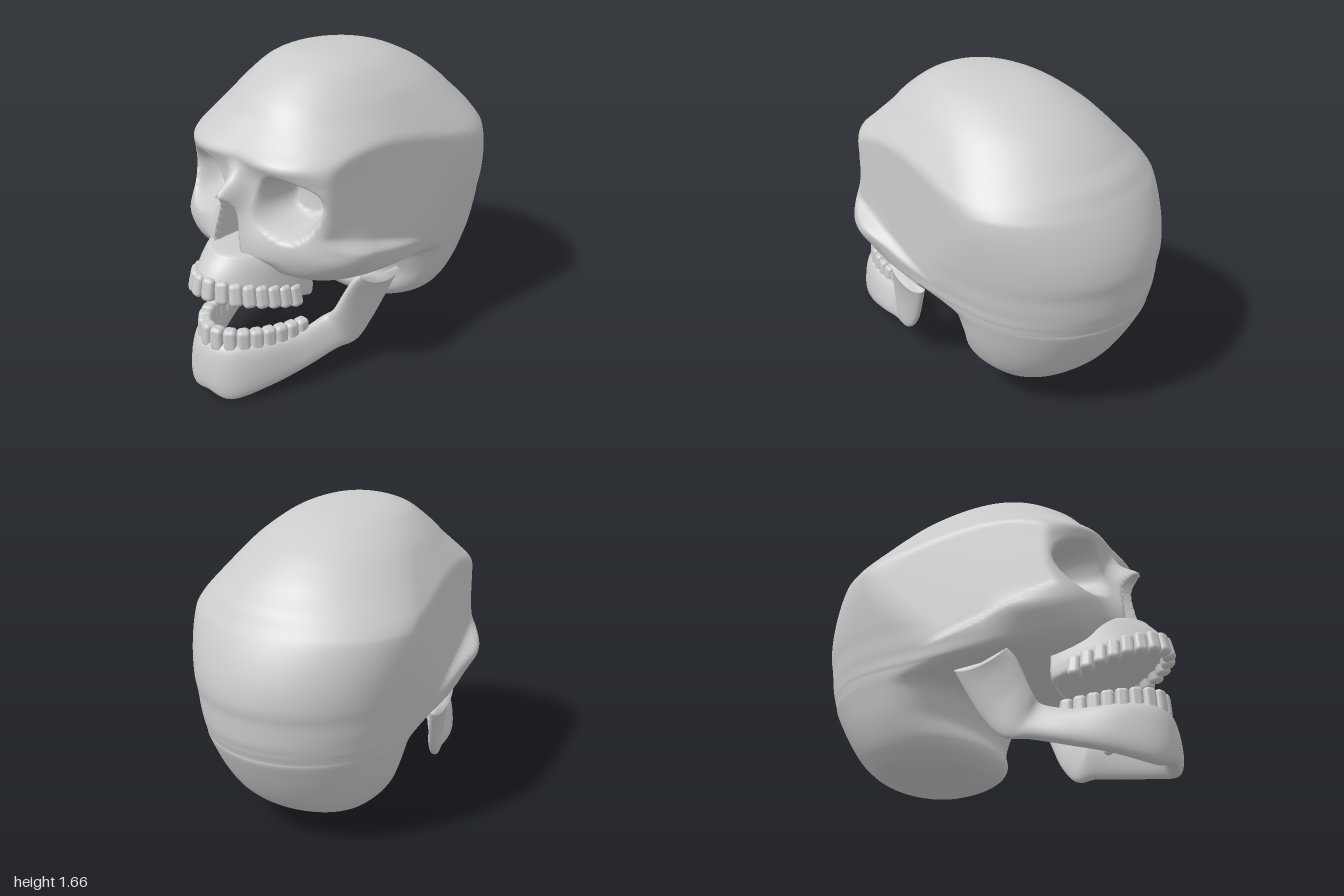
import * as THREE from 'three';
import { RoundedBoxGeometry } from 'three/addons/geometries/RoundedBoxGeometry.js';

const material = new THREE.MeshStandardMaterial({ color: 0xcccccc, roughness: 0.8 });
const { smoothstep, clamp } = THREE.MathUtils;
const signedPow = (v, e) => Math.sign(v) * Math.abs(v) ** e;

// Smooth interpolation through rows of key numbers; u counts in rows.
function spline(keys, u) {
  const last = keys.length - 1;
  const i = clamp(Math.floor(u), 0, last - 1), t = u - i;
  const key = (n) => keys[clamp(n, 0, last)];
  return keys[i].map((b, j) => {
    const a = key(i - 1)[j], c = key(i + 1)[j], d = key(i + 2)[j];
    return b + 0.5 * t * (c - a + t * (2 * a - 5 * b + 4 * c - d + t * (3 * (b - c) + d - a)));
  });
}

// Skin closed rings of points, cap both ends, and turn the faces outwards.
function loft(name, rings) {
  const n = rings[0].length, pts = rings.flat(), index = [];
  for (let r = 0; r < rings.length - 1; r++) {
    for (let i = 0; i < n; i++) {
      const a = r * n + i, b = r * n + (i + 1) % n;
      index.push(a, b, a + n, b, b + n, a + n);
    }
  }
  [0, rings.length - 1].forEach((r) => {
    const centre = new THREE.Vector3();
    rings[r].forEach((p) => centre.addScaledVector(p, 1 / n));
    const c = pts.push(centre) - 1;
    for (let i = 0; i < n; i++) {
      const a = r * n + i, b = r * n + (i + 1) % n;
      if (r) index.push(a, b, c); else index.push(b, a, c);
    }
  });
  let volume = 0;
  const cross = new THREE.Vector3();
  for (let i = 0; i < index.length; i += 3) {
    volume += cross.crossVectors(pts[index[i + 1]], pts[index[i + 2]]).dot(pts[index[i]]);
  }
  if (volume < 0) index.reverse();
  const geometry = new THREE.BufferGeometry().setFromPoints(pts);
  geometry.setIndex(index);
  geometry.computeVertexNormals();
  const mesh = new THREE.Mesh(geometry, material);
  mesh.name = name;
  return mesh;
}

function sampleRings(keys, perKey, makeRing) {
  const count = (keys.length - 1) * perKey;
  return Array.from({ length: count + 1 }, (_, r) => makeRing(r / perKey));
}

// Horizontal sections of the skull: y, half width, front z, back z
const skullKeys = [
  [0.115, 0.02, -0.47, -0.53], [0.125, 0.14, -0.35, -0.58], [0.15, 0.3, -0.17, -0.66],
  [0.19, 0.38, -0.09, -0.72], [0.26, 0.44, -0.05, -0.79], [0.38, 0.495, -0.085, -0.87],
  [0.52, 0.535, -0.03, -0.945], [0.56, 0.545, 0.1, -0.955], [0.59, 0.55, 0.32, -0.965],
  [0.61, 0.555, 0.5, -0.97], [0.65, 0.56, 0.62, -0.98], [0.7, 0.57, 0.68, -0.985],
  [0.77, 0.58, 0.71, -0.99], [0.85, 0.595, 0.72, -1], [0.95, 0.61, 0.7, -0.985],
  [1.05, 0.62, 0.68, -0.95], [1.14, 0.62, 0.68, -0.905], [1.21, 0.605, 0.69, -0.86],
  [1.27, 0.57, 0.695, -0.82], [1.33, 0.53, 0.65, -0.76], [1.41, 0.475, 0.575, -0.68],
  [1.5, 0.405, 0.5, -0.56], [1.59, 0.3, 0.375, -0.38], [1.635, 0.2, 0.27, -0.22],
  [1.655, 0.1, 0.18, -0.05], [1.66, 0.01, 0.08, 0.06],
];
// Depth of the widest point, and how square the front half of a section is
const widestZ = (y) => -0.4 + 0.95 * Math.max(0, y - 1.17) - Math.max(0, 0.21 - y);
const squareness = (y) => 2.3 + 1.7 * smoothstep(y, 0.5, 0.64)
  - 0.65 * smoothstep(y, 0.78, 1) - 1.2 * smoothstep(y, 1.2, 1.55);

// Nose ridge every 0.08 up from y = 0.76: height, spread
const noseKeys = [[0.1, 0.17], [0.09, 0.14], [0.1, 0.11], [0.12, 0.08], [0.17, 0.055], [0.06, 0.05], [0, 0.05]];

function sculptSkull(p) {
  const side = Math.sign(p.x), { y } = p;
  let ax = Math.abs(p.x);
  // Flat temples, released below the cheek arch
  const arch = 0.64 + 0.33 * p.z;
  const limit = 0.553 - 0.173 * p.z + 0.1 * (1 - smoothstep(y, arch - 0.02, arch + 0.08));
  const soft = Math.max(0.02 - Math.abs(ax - limit), 0) / 0.02;
  ax = Math.min(ax, limit) - soft * soft * 0.005;
  if (p.z > 0.1) {
    const near = (cx, cy, rx, ry) => Math.exp(-(((ax - cx) / rx) ** 2) - ((y - cy) / ry) ** 2);
    const baseX = ax;
    // Cheekbones and brow ridges
    const cheek = near(0.52, 0.76, 0.12, 0.07) * smoothstep(p.z, 0.2, 0.45);
    let z = p.z + 0.02 * near(0.24, 1.25, 0.17, 0.045);
    ax += 0.035 * cheek;
    // Eye sockets, drooping outwards
    const dx = baseX - 0.275, dy = y - 1.045;
    const u = dx * 0.94 - dy * 0.34, v = dx * 0.34 + dy * 0.94;
    const d = (Math.abs(u / 0.155) ** 2.6 + Math.abs(v / 0.15) ** 2.6) ** (1 / 2.6);
    z -= 0.21 * (1 - smoothstep(d, 0.55, 1.08));
    // Nose bones and the opening below them
    if (y > 0.7 && y < 1.24) {
      const [height, spread] = spline(noseKeys, Math.max(0, (y - 0.76) / 0.08));
      z += height * Math.exp(-((baseX / spread) ** 2)) * smoothstep(y, 0.7, 0.78);
      const half = 0.082 * Math.sqrt(clamp((1.08 - y) / 0.28, 0, 1));
      z -= 0.23 * smoothstep(half - baseX, -0.008, 0.014)
        * (1 - smoothstep(y, 1.06, 1.085)) * smoothstep(y, 0.72, 0.76);
    }
    p.z = z;
  }
  p.x = side * ax;
  return p;
}

function makeSkull() {
  const n = 220;
  return loft('cranium', sampleRings(skullKeys, 7, (u) => {
    const [y, w, front, back] = spline(skullKeys, u);
    const mid = widestZ(y), square = squareness(y);
    return Array.from({ length: n }, (_, i) => {
      const t = (2 * i) / n - 1;
      const a = Math.PI * t * (0.4 + 0.6 * Math.abs(t)); // denser towards the face
      const s = Math.sin(a), c = Math.cos(a), e = c > 0 ? square : 2;
      const r = (Math.abs(s) ** e + Math.abs(c) ** e) ** (-1 / e);
      return sculptSkull(new THREE.Vector3(w * s * r, y, mid + c * r * (c > 0 ? front - mid : mid - back)));
    });
  }));
}

// Upper jaw sections: front y, half width, front z, rear z, slope
const upperJawKeys = [
  [0.62, 0.2, 0.9, 0.46, 0.32], [0.63, 0.255, 0.955, 0.46, 0.32], [0.67, 0.265, 0.955, 0.45, 0.3],
  [0.72, 0.26, 0.925, 0.45, 0.25], [0.77, 0.25, 0.88, 0.44, 0.15], [0.795, 0.22, 0.85, 0.42, 0.05],
  [0.8, 0.16, 0.76, 0.42, 0],
];

function makeUpperJaw() {
  const n = 72;
  return loft('upperJaw', sampleRings(upperJawKeys, 5, (u) => {
    const [y, w, front, rear, slope] = spline(upperJawKeys, u);
    return Array.from({ length: n }, (_, i) => {
      const a = (i / n) * Math.PI * 2, c = Math.cos(a);
      const z = rear + c * (c > 0 ? front - rear : 0.05);
      return new THREE.Vector3(w * Math.sin(a), y + slope * (z - front), z);
    });
  }));
}

// Lower jaw sections from chin to hinge: lower/back edge xyz, upper/front edge xyz, half thickness, dip
const jawKeys = [
  [0, 0.02, 0.94, 0, 0.31, 0.905, 0.055, 0], [0.12, 0, 0.91, 0.11, 0.31, 0.87, 0.055, 0],
  [0.23, 0.05, 0.75, 0.2, 0.3, 0.75, 0.05, 0], [0.31, 0.1, 0.56, 0.26, 0.29, 0.56, 0.045, 0],
  [0.365, 0.145, 0.38, 0.3, 0.33, 0.41, 0.04, 0], [0.4, 0.16, 0.25, 0.36, 0.38, 0.39, 0.035, 0],
  [0.425, 0.26, 0.155, 0.4, 0.47, 0.365, 0.032, 0], [0.46, 0.4, 0.08, 0.435, 0.55, 0.34, 0.03, 0.01],
  [0.49, 0.53, 0.02, 0.465, 0.595, 0.31, 0.03, 0.04],
];

function makeLowerJaw() {
  const mirrored = jawKeys.slice(1).reverse().map((k) => [-k[0], k[1], k[2], -k[3], ...k.slice(4)]);
  const keys = [...mirrored, ...jawKeys];
  const section = (u) => {
    const k = spline(keys, clamp(u, 0, keys.length - 1));
    const low = new THREE.Vector3(k[0], k[1], k[2]), high = new THREE.Vector3(k[3], k[4], k[5]);
    return { centre: low.clone().add(high).multiplyScalar(0.5), axis: high.sub(low).multiplyScalar(0.5), half: k[6], dip: k[7] };
  };
  return loft('lowerJaw', sampleRings(keys, 7, (u) => {
    const { centre, axis, half, dip } = section(u);
    const across = section(u + 0.1).centre.sub(section(u - 0.1).centre).cross(axis).normalize();
    return Array.from({ length: 36 }, (_, i) => {
      const a = (i / 36) * Math.PI * 2;
      const p = centre.clone().addScaledVector(axis, signedPow(Math.cos(a), 0.85));
      p.addScaledVector(across, half * signedPow(Math.sin(a), 0.75));
      p.y -= dip * Math.sin(a) ** 2;
      return p;
    });
  }));
}

// Teeth spaced evenly along a half-ellipse arch
function makeTeeth(name, { w, front, rear, y, slope, height, tilt }) {
  const group = new THREE.Group(), count = 16, depth = front - rear;
  group.name = name;
  const arch = new THREE.EllipseCurve(0, rear, w, depth, 0.12, Math.PI - 0.12);
  const size = arch.getLength() / count;
  const geometry = new RoundedBoxGeometry(size * 1.02, height, 0.07, 3, 0.024);
  for (let i = 0; i < count; i++) {
    const { x, y: z } = arch.getPointAt((i + 0.5) / count);
    const tooth = new THREE.Mesh(geometry, material);
    tooth.name = 'tooth';
    tooth.position.set(x, y + slope * (z - front), z);
    tooth.rotation.set(tilt, Math.atan2(x / w ** 2, (z - rear) / depth ** 2), 0, 'YXZ');
    group.add(tooth);
  }
  return group;
}

export function createModel() {
  const model = new THREE.Group();
  model.name = 'skull';
  model.add(
    makeSkull(),
    makeUpperJaw(),
    makeLowerJaw(),
    makeTeeth('upperTeeth', { w: 0.255, front: 0.95, rear: 0.48, y: 0.64, slope: 0.32, height: 0.12, tilt: -0.22 }),
    makeTeeth('lowerTeeth', { w: 0.255, front: 0.915, rear: 0.43, y: 0.335, slope: 0.12, height: 0.13, tilt: -0.06 }),
  );
  return model;
}
